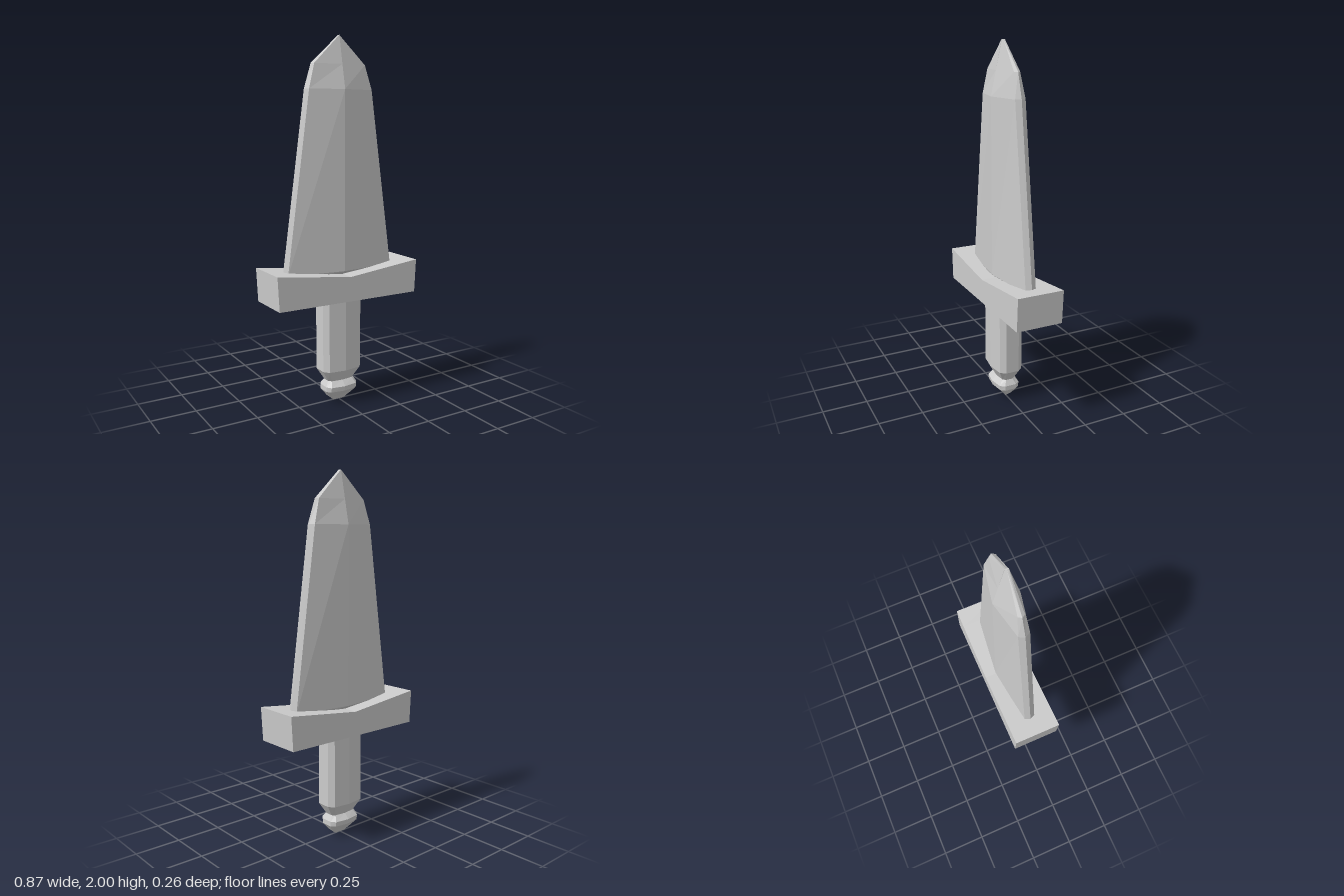
import * as THREE from 'three';

const material = new THREE.MeshStandardMaterial({ color: 0xcccccc, flatShading: true });

// Skin a stack of rings (bottom to top, each counter-clockwise seen from above) and cap both ends
function loft(rings) {
  const positions = [];
  const n = rings[0].length;
  const tri = (a, b, c) => positions.push(...a, ...b, ...c);
  for (let r = 0; r < rings.length - 1; r++) {
    const lo = rings[r], hi = rings[r + 1];
    for (let i = 0; i < n; i++) {
      const j = (i + 1) % n;
      tri(lo[i], lo[j], hi[j]);
      tri(lo[i], hi[j], hi[i]);
    }
  }
  const bottom = rings[0], top = rings[rings.length - 1];
  for (let i = 1; i < n - 1; i++) {
    tri(bottom[0], bottom[i + 1], bottom[i]);
    tri(top[0], top[i], top[i + 1]);
  }
  const geometry = new THREE.BufferGeometry();
  geometry.setAttribute('position', new THREE.Float32BufferAttribute(positions, 3));
  geometry.computeVertexNormals();
  return geometry;
}

// Blade section: sharp edge at x = w, bevel line at (e, b), central ridge at z = m
const bladeRing = ([y, w, e, b, m]) => [
  [w, y, 0], [e, y, -b], [0, y, -m], [-e, y, -b],
  [-w, y, 0], [-e, y, b], [0, y, m], [e, y, b],
];

// Grip section: ten-sided oval with half width w and half depth d
const gripRing = ([y, w, d]) => [
  [1, -0.47], [0.8, -0.83], [0, -1], [-0.8, -0.83], [-1, -0.47],
  [-1, 0.47], [-0.8, 0.83], [0, 1], [0.8, 0.83], [1, 0.47],
].map(([x, z]) => [x * w, y, z * d]);

// Crossguard: block with a shallow V in its top
function guardGeometry() {
  const shape = new THREE.Shape([
    [-0.425, 0.595], [0.425, 0.595], [0.435, 0.78], [0.33, 0.768],
    [0, 0.73], [-0.33, 0.768], [-0.435, 0.78],
  ].map(([x, y]) => new THREE.Vector2(x, y)));
  const depth = 0.262;
  return new THREE.ExtrudeGeometry(shape, { depth, bevelEnabled: false }).translate(0, 0, -depth / 2);
}

export function createModel() {
  const group = new THREE.Group();
  const add = (name, geometry) => {
    const mesh = new THREE.Mesh(geometry, material);
    mesh.name = name;
    group.add(mesh);
  };

  // y, edge, bevel, bevel depth, ridge depth
  add('blade', loft([
    [0.72, 0.28, 0.27, 0.02, 0.03],
    [0.75, 0.34, 0.325, 0.03, 0.069],
    [1.72, 0.207, 0.192, 0.029, 0.069],
    [1.85, 0.167, 0.155, 0.017, 0.041],
    [2.0, 0.002, 0.001, 0.008, 0.01],
  ].map(bladeRing)));

  add('crossguard', guardGeometry());

  // y, half width, half depth
  add('grip', loft([
    [0.125, 0.08, 0.045],
    [0.19, 0.12, 0.082],
    [0.62, 0.12, 0.082],
  ].map(gripRing)));

  add('pommel', loft([
    [0, 0.035, 0.003],
    [0.03, 0.07, 0.03],
    [0.068, 0.098, 0.068],
    [0.095, 0.098, 0.072],
    [0.125, 0.08, 0.045],
  ].map(gripRing)));

  return group;
}
